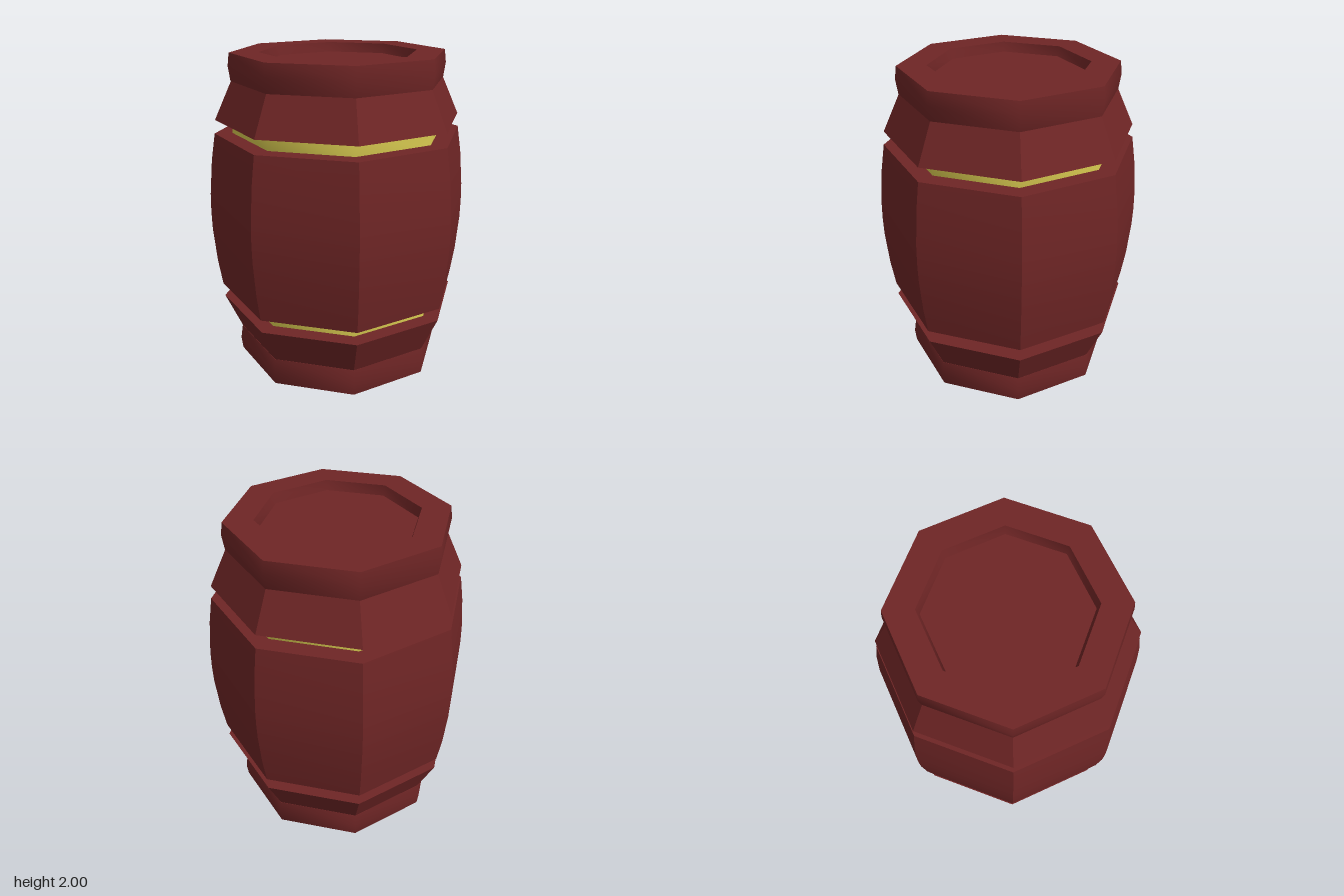
import * as THREE from 'three';
import { toCreasedNormals } from 'three/addons/utils/BufferGeometryUtils.js';

const SIDES = 8;

// Eight-sided turned part; corners blend smoothly only below the crease angle
function turned(name, profile, material, creaseDegrees) {
  const points = profile.map(([r, y]) => new THREE.Vector2(r, y));
  const lathe = new THREE.LatheGeometry(points, SIDES);
  const geometry = toCreasedNormals(lathe, THREE.MathUtils.degToRad(creaseDegrees));
  const mesh = new THREE.Mesh(geometry, material);
  mesh.name = name;
  return mesh;
}

// Profile reflected about the barrel's mid-height, kept in outward order
const mirrored = (profile) => profile.map(([r, y]) => [r, 2 - y]).reverse();

export function createModel() {
  const wood = new THREE.MeshStandardMaterial({ color: 0x6e2525 });
  wood.name = 'redWood';
  const brass = new THREE.MeshStandardMaterial({ color: 0xd8ca50 });
  brass.name = 'yellowBrass';

  const barrel = new THREE.Group();
  barrel.name = 'barrel';

  // Bulging middle staves with flat ledges at both ends
  const staves = [
    [0.64, 0.49], [0.775, 0.49], [0.802, 0.66], [0.822, 0.88],
    [0.825, 1.0],
    [0.822, 1.12], [0.802, 1.34], [0.775, 1.51], [0.64, 1.51],
  ];
  barrel.add(turned('middleStaves', staves, wood, 30));

  // Upper-half profiles, mirrored for the lower half
  const ends = [
    ['Hoop', [[0.665, 1.5], [0.665, 1.61]], brass, 60],
    ['Shoulder', [[0.64, 1.595], [0.768, 1.595], [0.66, 1.83], [0.6, 1.83]], wood, 30],
    // Rim wraps over the end and into a shallow recessed lid
    ['RimAndLid', [
      [0.6, 1.83], [0.662, 1.83], [0.675, 1.92], [0.665, 2.0],
      [0.487, 2.0], [0.47, 1.94], [0, 1.94],
    ], wood, 60],
  ];
  for (const [part, profile, material, crease] of ends) {
    barrel.add(turned('upper' + part, profile, material, crease));
    barrel.add(turned('lower' + part, mirrored(profile), material, crease));
  }
  return barrel;
}
